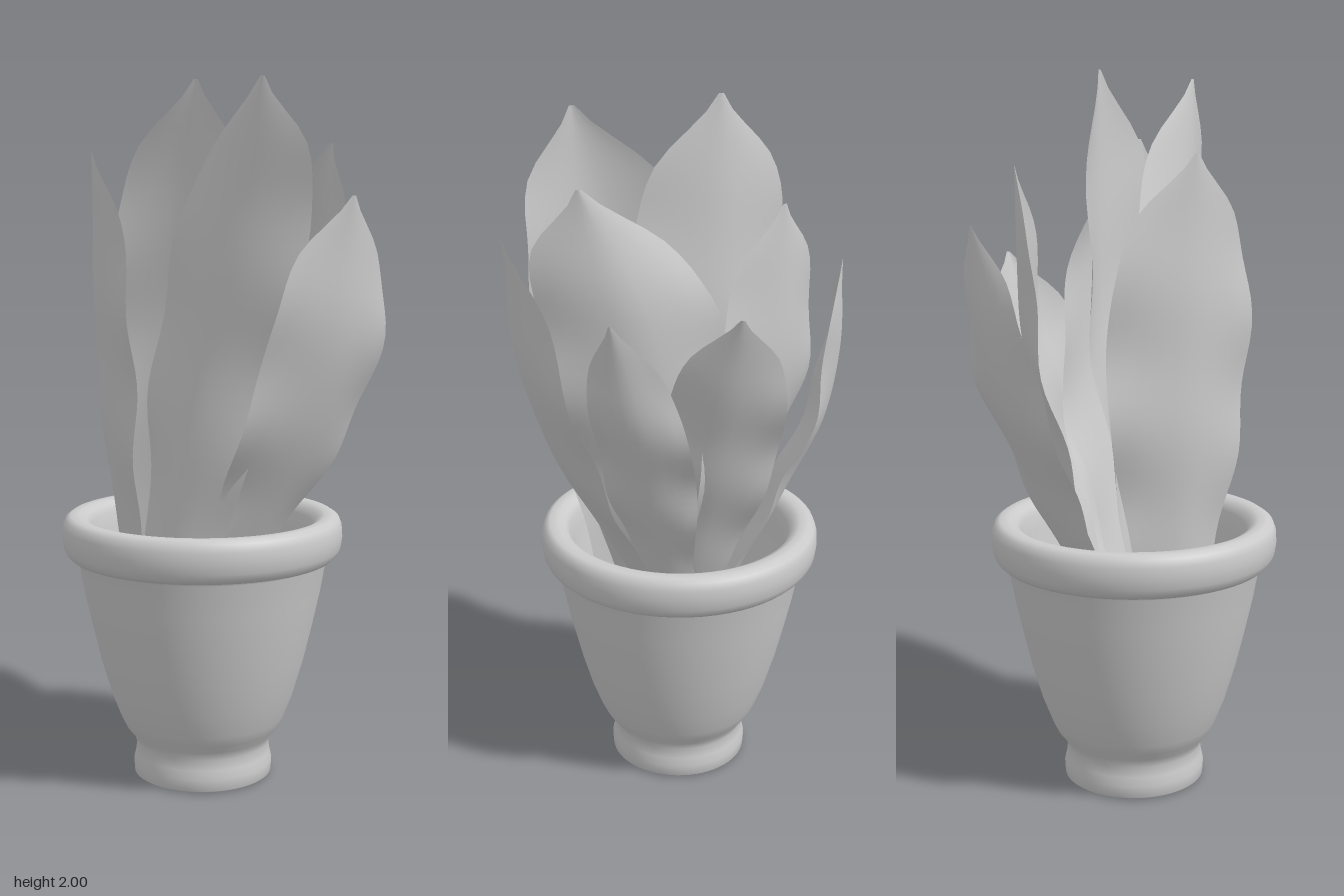
import * as THREE from 'three';

// Turned pot: foot, tapered wall, rolled rim and inner lining, as [radius, y]
const POT_PROFILE = [
  [0, 0.005], [0.19, 0.005], [0.2, 0.012], [0.202, 0.045], [0.196, 0.07], [0.192, 0.1],
  [0.203, 0.125], [0.223, 0.15], [0.238, 0.18], [0.265, 0.25], [0.294, 0.35], [0.318, 0.45],
  [0.34, 0.55], [0.357, 0.645], [0.363, 0.655], [0.378, 0.655], [0.39, 0.666], [0.399, 0.685],
  [0.403, 0.715], [0.401, 0.745], [0.393, 0.766], [0.378, 0.776], [0.352, 0.776], [0.332, 0.766],
  [0.319, 0.745], [0.312, 0.7], [0.298, 0.6], [0.28, 0.5],
];

// root, belly (widest point) and tip of the midrib; facing = outward [x, z]; half = half width
const LEAVES = [
  { name: 'frontLeaf', root: [-0.05, 0.04], belly: [-0.02, 1.2, 0.39], tip: [-0.03, 1.67, 0.46], facing: [-0.17, 1], half: 0.215 },
  { name: 'rightTallLeaf', root: [-0.23, -0.03], belly: [-0.14, 1.4, 0.07], tip: [-0.1, 1.98, 0.21], facing: [-1, -0.1], half: 0.26 },
  { name: 'centreTallLeaf', root: [-0.07, -0.16], belly: [0.04, 1.4, -0.165], tip: [0.055, 2.0, -0.15], facing: [1, 0.03], half: 0.26 },
  { name: 'leftFrontTallLeaf', root: [0, -0.01], belly: [0.15, 1.32, 0.14], tip: [0.09, 1.81, 0.3], facing: [0.93, 0.35], half: 0.25 },
  { name: 'rightBackLeaf', root: [-0.19, -0.2], belly: [-0.235, 1.13, -0.26], tip: [-0.25, 1.79, -0.27], facing: [-0.8, -0.6], half: 0.23 },
  { name: 'leftBackTallLeaf', root: [0.06, -0.13], belly: [0.25, 1.27, -0.22], tip: [0.28, 1.75, -0.2], facing: [0.95, -0.33], half: 0.22 },
  { name: 'leftBackLeaf', root: [0.07, -0.19], belly: [0.28, 1.2, -0.38], tip: [0.35, 1.6, -0.34], facing: [0.62, -0.78], half: 0.17 },
  { name: 'leftLeaf', root: [0.06, -0.05], belly: [0.29, 1.18, -0.01], tip: [0.385, 1.5, 0], facing: [0.8, 0.6], half: 0.165 },
  { name: 'leftFrontLeaf', root: [0.05, 0], belly: [0.21, 1.17, 0.21], tip: [0.2, 1.48, 0.28], facing: [0.72, 0.7], half: 0.13 },
];
const ROOT_Y = 0.55;

// Relative leaf width at even steps from root to tip
const WIDTHS = new THREE.SplineCurve(
  [0.5, 0.6, 0.74, 0.9, 0.99, 1, 0.92, 0.69, 0.03].map((w, i) => new THREE.Vector2(i / 8, w)));

function makeLeaf({ name, root, belly, tip, facing, half }, index, material) {
  const midrib = new THREE.CatmullRomCurve3([
    new THREE.Vector3(root[0], ROOT_Y, root[1]),
    new THREE.Vector3(...belly),
    new THREE.Vector3(...tip),
  ]);
  const out = new THREE.Vector3(facing[0], 0, facing[1]).normalize();
  const side = new THREE.Vector3(out.z, 0, -out.x);

  // Bend a flat sheet along the midrib, cupped inward with gently rippled edges
  const geometry = new THREE.PlaneGeometry(2, 1, 10, 32);
  const pos = geometry.attributes.position;
  const p = new THREE.Vector3();
  for (let i = 0; i < pos.count; i++) {
    const s = pos.getX(i);
    const t = THREE.MathUtils.clamp(pos.getY(i) + 0.5, 0, 1);
    const ripple = Math.sin(t * 19 + index * 1.7 + s * 1.2);
    const width = half * WIDTHS.getPoint(t).y * (1 + 0.02 * ripple);
    const cup = -0.25 * width * Math.pow(Math.abs(s), 1.5);
    const wave = 0.01 * ripple * (0.3 + s * s) * Math.sin(Math.PI * t);
    p.copy(midrib.getPointAt(t)).addScaledVector(side, s * width).addScaledVector(out, cup + wave);
    pos.setXYZ(i, p.x, p.y, p.z);
  }
  geometry.computeVertexNormals();
  const leaf = new THREE.Mesh(geometry, material);
  leaf.name = name;
  return leaf;
}

export function createModel() {
  const group = new THREE.Group();
  group.name = 'pottedPlant';
  const material = new THREE.MeshStandardMaterial({ color: 0xcccccc, side: THREE.DoubleSide });

  const pot = new THREE.Mesh(
    new THREE.LatheGeometry(POT_PROFILE.map(([r, y]) => new THREE.Vector2(r, y)), 64), material);
  pot.name = 'pot';
  pot.position.set(-0.015, -0.005, -0.07);
  group.add(pot);

  const leaves = new THREE.Group();
  leaves.name = 'leaves';
  LEAVES.forEach((spec, i) => leaves.add(makeLeaf(spec, i, material)));
  group.add(leaves);

  return group;
}
